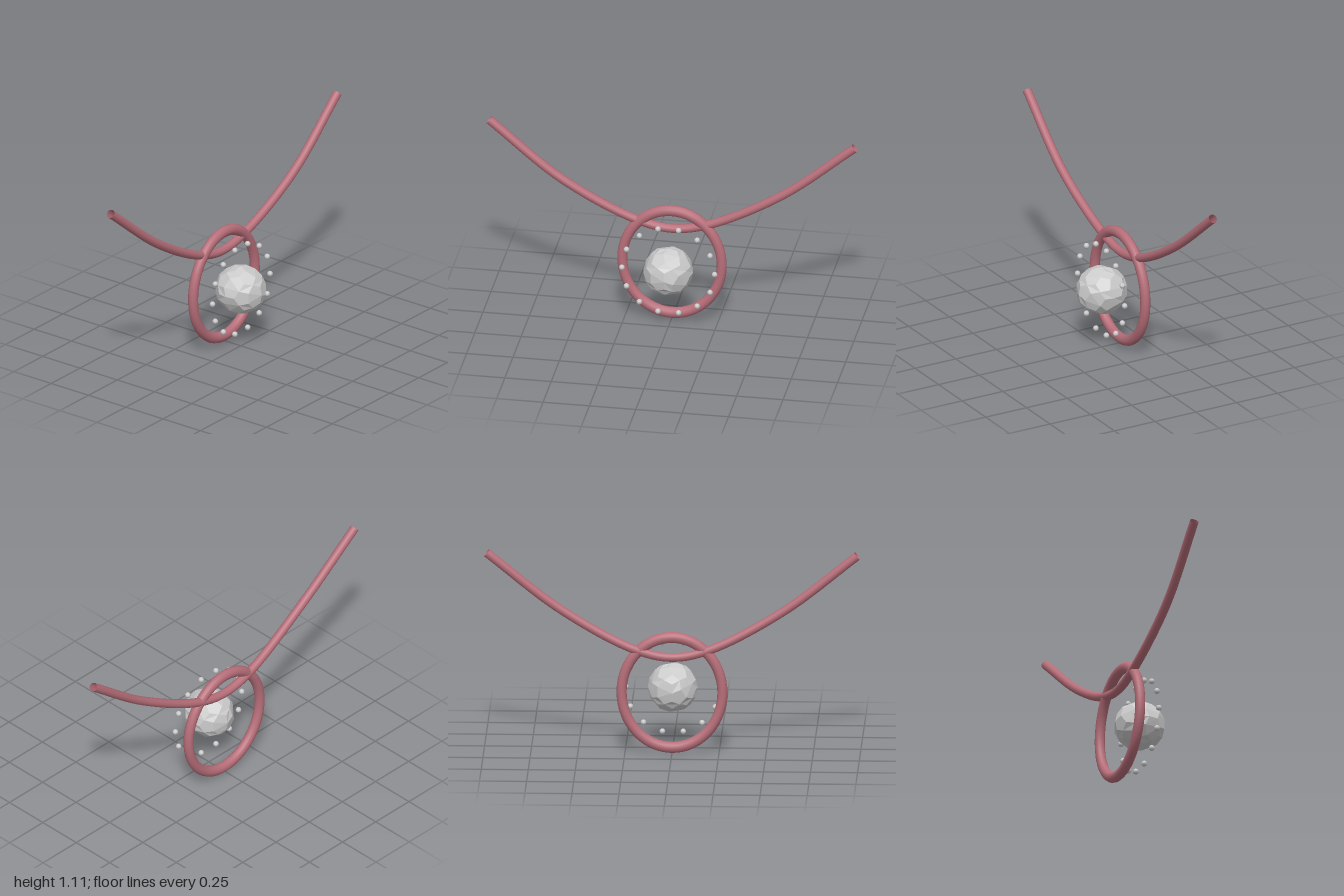
import * as THREE from 'three';

export function createModel() {
  const model = new THREE.Group();
  const rose = new THREE.MeshStandardMaterial({ color: 0xb76e79, side: THREE.DoubleSide });
  const grey = new THREE.MeshStandardMaterial({ color: 0xcccccc });
  const facetedGrey = new THREE.MeshStandardMaterial({ color: 0xcccccc, flatShading: true });
  const centreY = 0.335;

  function add(name, geometry, material, x, y, z, parent = model) {
    const mesh = new THREE.Mesh(geometry, material);
    mesh.name = name;
    mesh.position.set(x, y, z);
    parent.add(mesh);
    return mesh;
  }

  // Oval pendant frame
  const frame = add('pendantFrame', new THREE.TorusGeometry(0.268, 0.027, 12, 64), rose, 0, centreY, -0.113);
  frame.scale.y = 1.125;

  // Faceted centre stone
  const stone = add('centreStone', new THREE.DodecahedronGeometry(0.14, 1), facetedGrey, 0, centreY, 0);
  stone.scale.set(0.955, 0.945, 1);

  // Circle of small stones
  const halo = new THREE.Group();
  halo.name = 'haloStones';
  model.add(halo);
  const bead = new THREE.SphereGeometry(0.016, 8, 6);
  const count = 14;
  for (let i = 0; i < count; i++) {
    const a = (i / count) * Math.PI * 2;
    add('haloStone', bead, grey, 0.25 * Math.cos(a), centreY + 0.25 * Math.sin(a), 0.003, halo);
  }

  // Neck cord: half a path, mirrored, with open ends
  const half = [[0.985, 1.092, -0.113], [0.59, 0.78, -0.101], [0.2, 0.57, -0.117]];
  const path = [
    ...half.map(([x, y, z]) => new THREE.Vector3(-x, y, z)),
    new THREE.Vector3(0, 0.528, -0.12),
    ...half.map(([x, y, z]) => new THREE.Vector3(x, y, z)).reverse(),
  ];
  const curve = new THREE.CatmullRomCurve3(path);
  add('neckCord', new THREE.TubeGeometry(curve, 64, 0.024, 12, false), rose, 0, 0, 0);

  return model;
}
